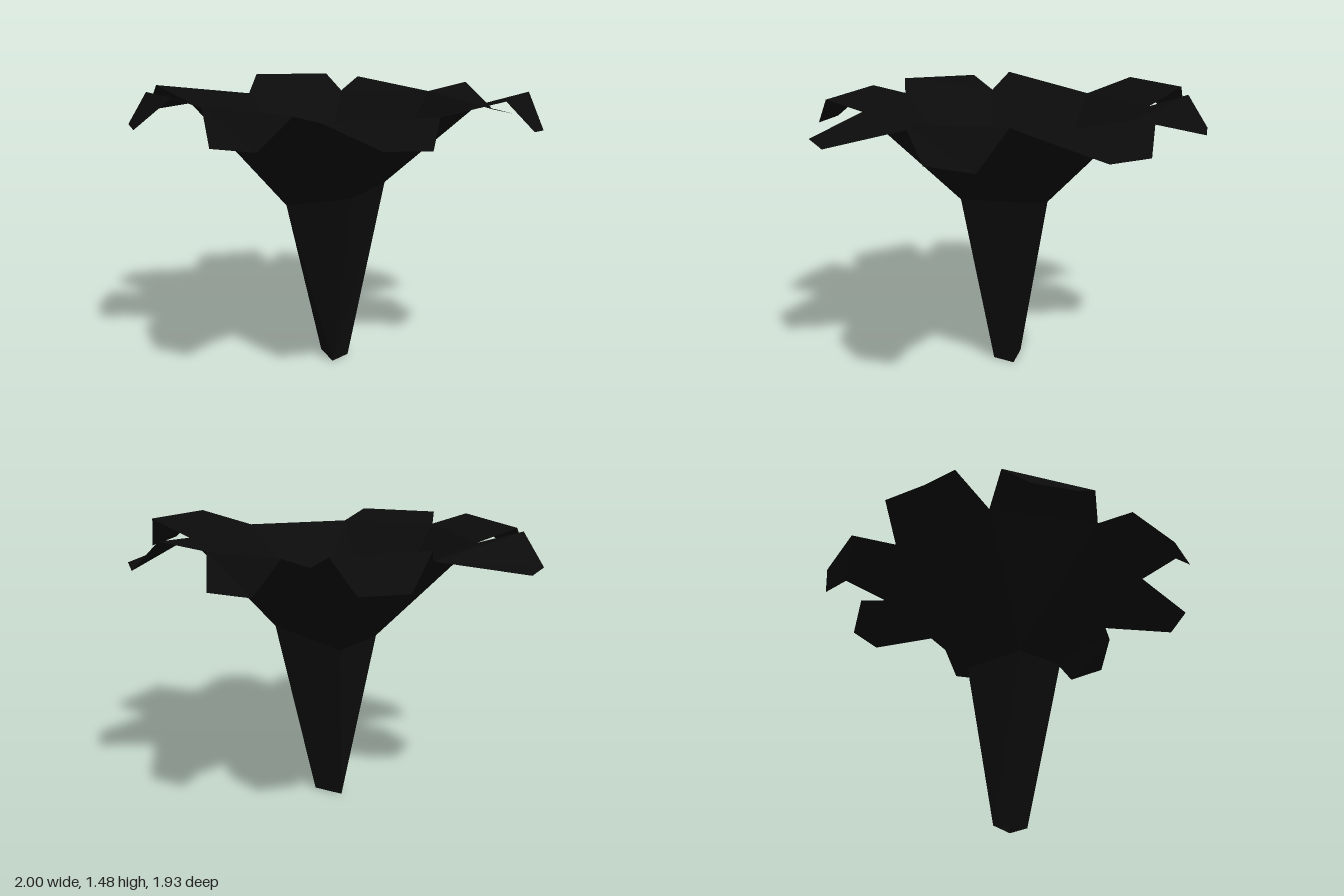
import * as THREE from 'three';

const black = new THREE.MeshStandardMaterial({ color: 0x0b0b0b, side: THREE.DoubleSide, flatShading: true });
black.name = 'black petal';

// Build a mesh from triangles given as lists of corner points
function facetMesh(name, tris) {
  const g = new THREE.BufferGeometry();
  g.setAttribute('position', new THREE.Float32BufferAttribute(tris.flat(2), 3));
  g.computeVertexNormals();
  const m = new THREE.Mesh(g, black);
  m.name = name;
  return m;
}
const quad = (a, b, c, d) => [[a, b, c], [a, c, d]];

export function createModel() {
  const flower = new THREE.Group();
  flower.name = 'flower';

  // Throat corners, where the stem opens into the funnel
  const throat = [[0.26, 0.95, 0.11], [0.11, 0.96, -0.27], [-0.21, 0.87, -0.10], [-0.11, 0.87, 0.23]];
  // Three-sided open foot; its first corner serves two throat corners
  const a = [0.06, 0, 0.06], b = [0.045, 0, -0.065], c = [-0.105, 0, 0];
  const [A, B, C, D] = throat;
  flower.add(facetMesh('stem', [
    ...quad(a, b, B, A), ...quad(b, c, C, B), [c, D, C], [c, a, D], [a, A, D],
  ]));

  // Notches between the lobes, counter-clockwise seen from above, from +x
  const notch = [
    [0.73, 1.39, 0], [0.52, 1.39, -0.52], [0, 1.41, -0.72], [-0.52, 1.39, -0.52],
    [-0.74, 1.39, 0], [-0.52, 1.39, 0.53], [0, 1.41, 0.74], [0.52, 1.39, 0.53],
  ];

  // Funnel: each throat corner fans to two notches, quads lie between
  const owner = [0, 1, 1, 2, 2, 3, 3, 0];
  const funnel = [];
  notch.forEach((n, i) => {
    const j = (i + 1) % 8, p = throat[owner[i]], q = throat[owner[j]];
    funnel.push([p, q, notch[j]], [p, notch[j], n]);
  });
  flower.add(facetMesh('funnel', funnel.filter(t => t[0] !== t[1])));

  // Lobes: first crest, two drooping tips, second crest (null = folds at the notch)
  const lobes = [
    [[0.945, 1.465, -0.19], [1, 1.32, -0.34], [0.91, 1.30, -0.54], [0.77, 1.47, -0.6]],
    [null, [0.48, 1.31, -0.89], [0.27, 1.31, -0.97], [0.12, 1.46, -0.9]],
    [null, [-0.35, 1.31, -0.93], [-0.55, 1.31, -0.84], [-0.58, 1.46, -0.71]],
    [[-0.74, 1.475, -0.59], [-0.87, 1.33, -0.55], [-0.96, 1.33, -0.34], [-0.91, 1.48, -0.18]],
    [null, [-1, 1.32, 0.37], [-0.91, 1.32, 0.57], [-0.76, 1.47, 0.59]],
    [[-0.6, 1.455, 0.74], [-0.54, 1.31, 0.88], [-0.33, 1.31, 0.965], [-0.13, 1.47, 0.87]],
    [[0.12, 1.455, 0.87], [0.31, 1.3, 0.96], [0.52, 1.3, 0.87], [0.58, 1.44, 0.73]],
    [null, [0.88, 1.31, 0.51], [0.97, 1.3, 0.31], null],
  ];
  lobes.forEach(([c1, t1, t2, c2], i) => {
    const n1 = notch[i], n2 = notch[(i + 1) % 8];
    const p = c1 || n1, q = c2 || n2;
    // Rising inner part, then the folded-down rim
    const tris = [[n1, n2, q], [n1, q, p], [p, q, t2], [p, t2, t1]];
    // In this loop t1 follows p and t2 precedes q
    flower.add(facetMesh('petalLobe' + (i + 1), tris.filter(t => new Set(t).size === 3)));
  });
  return flower;
}
